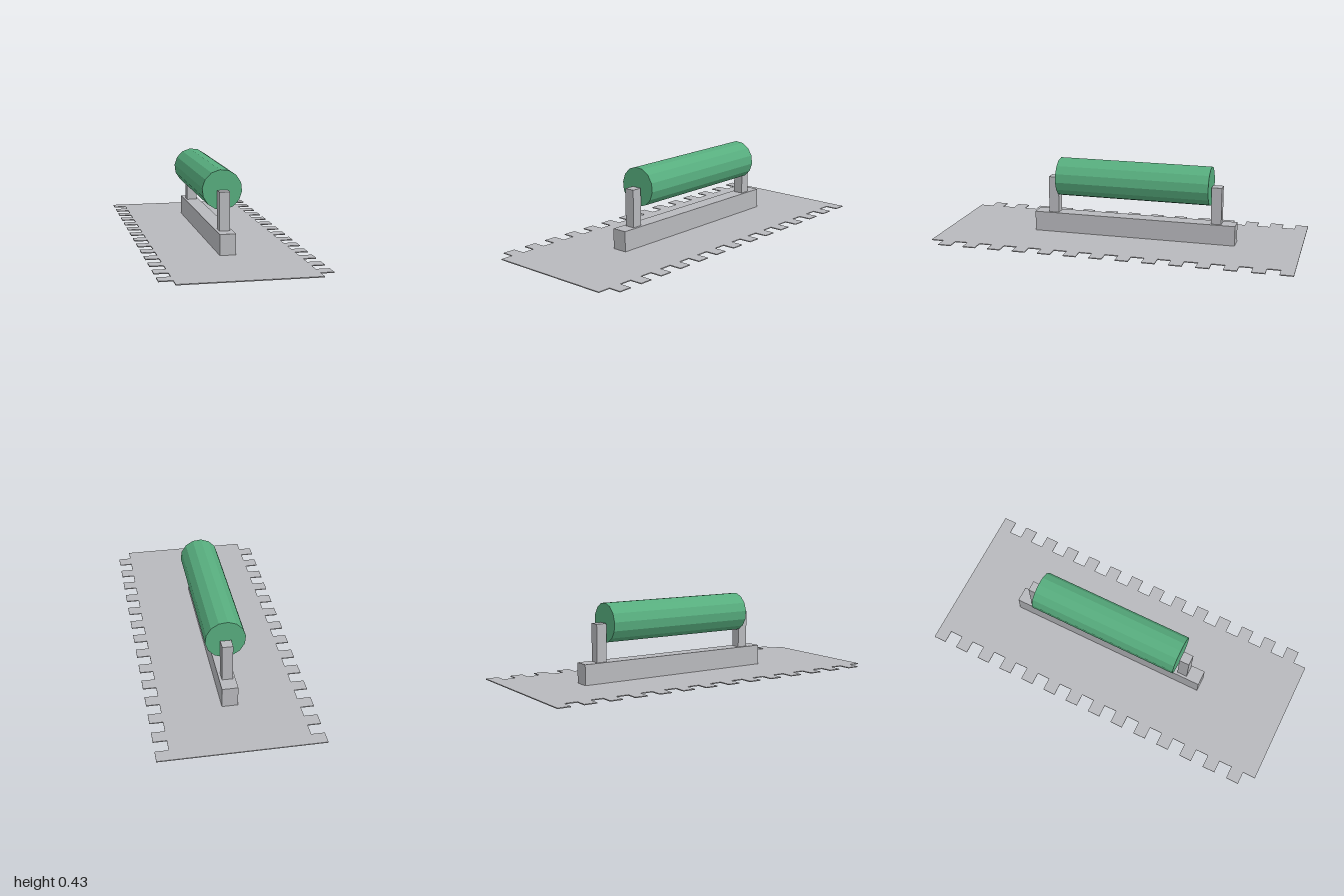
import * as THREE from 'three';

const steel = new THREE.MeshStandardMaterial({ name: 'steel grey', color: 0xb8b9bd, flatShading: true });
const green = new THREE.MeshStandardMaterial({ name: 'grip green', color: 0x57ad7e, flatShading: true });

const PLATE = 0.005; // blade thickness
const TEETH = 14;
const BODY = 0.357; // half width between the notches
const TIP = 0.427; // half width at the teeth

// Flat blade with square notches along both long edges
function bladeGeometry() {
  const pitch = 2 / TEETH;
  const right = [];
  for (let i = 0; i < TEETH; i++) {
    const z = -1 + i * pitch;
    right.push([TIP, z], [TIP, z + pitch / 2], [BODY, z + pitch / 2], [BODY, z + pitch]);
  }
  const left = right.map(([x, z]) => [-x, z]).reverse();
  const outline = [...right, ...left].map(([x, z]) => new THREE.Vector2(x, -z));
  const geometry = new THREE.ExtrudeGeometry(new THREE.Shape(outline), { depth: PLATE, bevelEnabled: false });
  return geometry.rotateX(-Math.PI / 2);
}

// Box given by its width and its y and z limits, centred on x = 0
function bar(name, width, y0, y1, z0, z1) {
  const mesh = new THREE.Mesh(new THREE.BoxGeometry(width, y1 - y0, z1 - z0), steel);
  mesh.position.set(0, (y0 + y1) / 2, (z0 + z1) / 2);
  mesh.name = name;
  return mesh;
}

export function createModel() {
  const group = new THREE.Group();
  group.name = 'notchedTrowel';

  const blade = new THREE.Mesh(bladeGeometry(), steel);
  blade.name = 'notchedBlade';
  group.add(blade);

  // Mounting rail and the two posts beside the grip
  group.add(
    bar('mountingRail', 0.085, PLATE, 0.116, -0.643, 0.5),
    bar('frontPost', 0.057, 0.116, 0.321, 0.364, 0.421),
    bar('backPost', 0.057, 0.116, 0.321, -0.564, -0.507),
  );

  // Fourteen-sided grip lying along z
  const gripGeometry = new THREE.CylinderGeometry(0.107, 0.107, 0.859, 14, 1, false, Math.PI / 28);
  const grip = new THREE.Mesh(gripGeometry.rotateX(Math.PI / 2), green);
  grip.position.set(0, 0.322, -0.0715);
  grip.name = 'grip';
  group.add(grip);

  return group;
}
